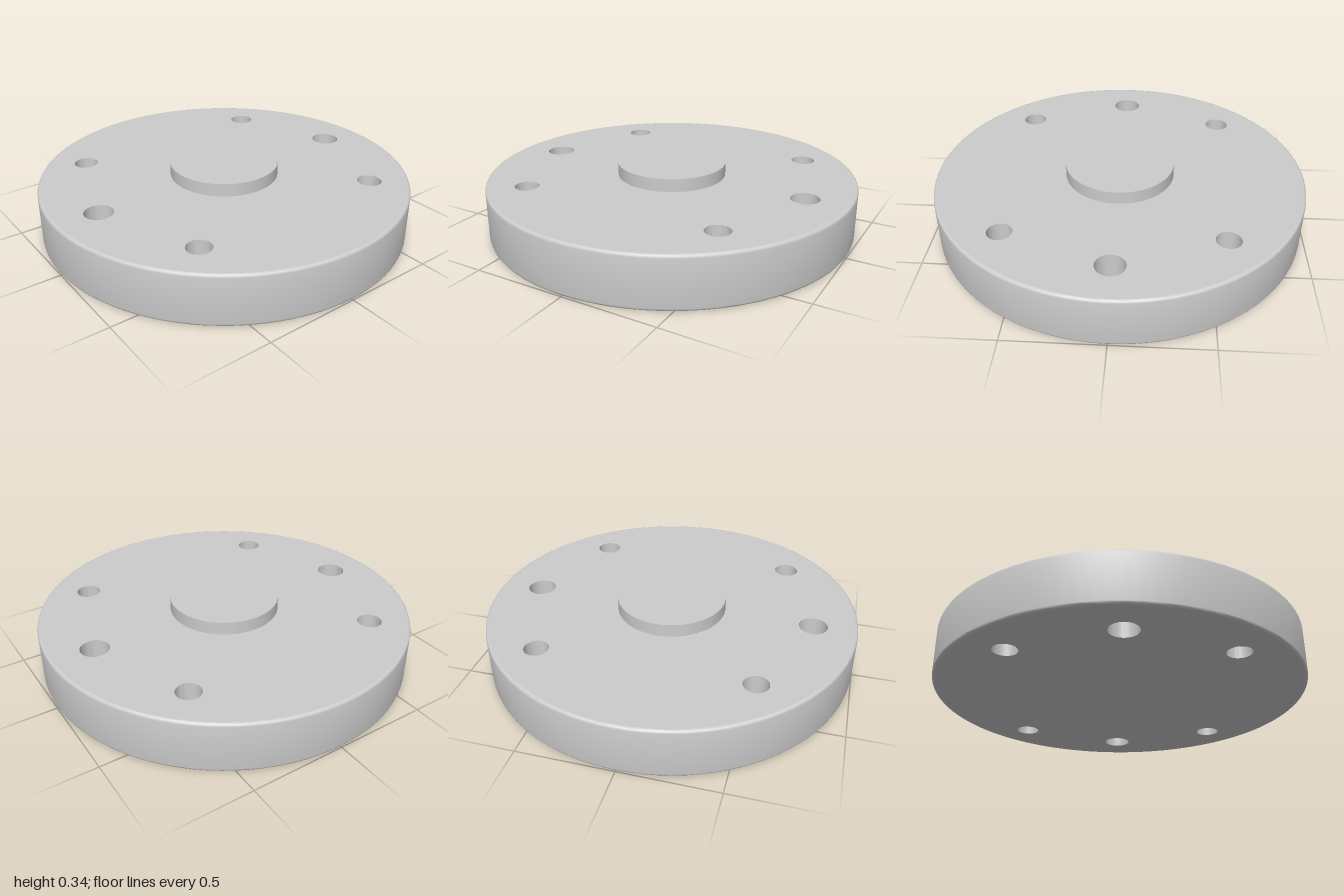
import * as THREE from 'three';
import { toCreasedNormals } from 'three/addons/utils/BufferGeometryUtils.js';

const SEGMENTS = 96;
const HEIGHT = 0.275;
const RADIUS = 1;
const FILLET = 0.016;
const BOSS_RADIUS = 0.293;
const BOSS_TOP = 0.345;

// Through holes: [x, z, radius]
const HOLES = [[0, 0.768, 0.075], [0, -0.768, 0.075]];
for (const sx of [-1, 1]) for (const sz of [-1, 1]) HOLES.push([0.556 * sx, 0.556 * sz, 0.064]);

const material = new THREE.MeshStandardMaterial({ color: 0xcccccc });

function part(name, geometry) {
  const mesh = new THREE.Mesh(geometry, material);
  mesh.name = name;
  return mesh;
}

// Turned surface; a profile running upward faces outward, downward faces inward
function turned(name, profile) {
  const points = profile.map(([r, y]) => new THREE.Vector2(r, y));
  return part(name, toCreasedNormals(new THREE.LatheGeometry(points, SEGMENTS), 0.6));
}

// Flat disc face pierced by the given holes
function pierced(name, holes, y, up) {
  const shape = new THREE.Shape().absarc(0, 0, RADIUS - FILLET, 0, Math.PI * 2);
  for (const [x, z, r] of holes) {
    shape.holes.push(new THREE.Path().absarc(x, z, r, 0, Math.PI * 2, true));
  }
  const geometry = new THREE.ShapeGeometry(shape, SEGMENTS);
  geometry.rotateX(up ? -Math.PI / 2 : Math.PI / 2).translate(0, y, 0);
  return part(name, geometry);
}

export function createModel() {
  const model = new THREE.Group();
  model.name = 'flange';

  // Outer rim with small rounded edges at bottom and top
  const rim = [];
  for (const [cy, start] of [[FILLET, -Math.PI / 2], [HEIGHT - FILLET, 0]]) {
    for (let i = 0; i <= 4; i++) {
      const a = start + (i / 4) * (Math.PI / 2);
      rim.push([RADIUS - FILLET + FILLET * Math.cos(a), cy + FILLET * Math.sin(a)]);
    }
  }
  model.add(turned('rim', rim));

  // Flat faces; the top one is also opened for the boss
  model.add(pierced('topFace', [...HOLES, [0, 0, BOSS_RADIUS]], HEIGHT, true));
  model.add(pierced('bottomFace', HOLES, 0, false));

  // Raised solid boss in the middle
  model.add(turned('centreBoss', [[BOSS_RADIUS, HEIGHT], [BOSS_RADIUS, BOSS_TOP], [0, BOSS_TOP]]));

  // Inner walls of the bolt holes
  for (const [x, z, r] of HOLES) {
    const bore = turned('boltHole', [[r, HEIGHT], [r, 0]]);
    bore.position.set(x, 0, z);
    model.add(bore);
  }
  return model;
}
